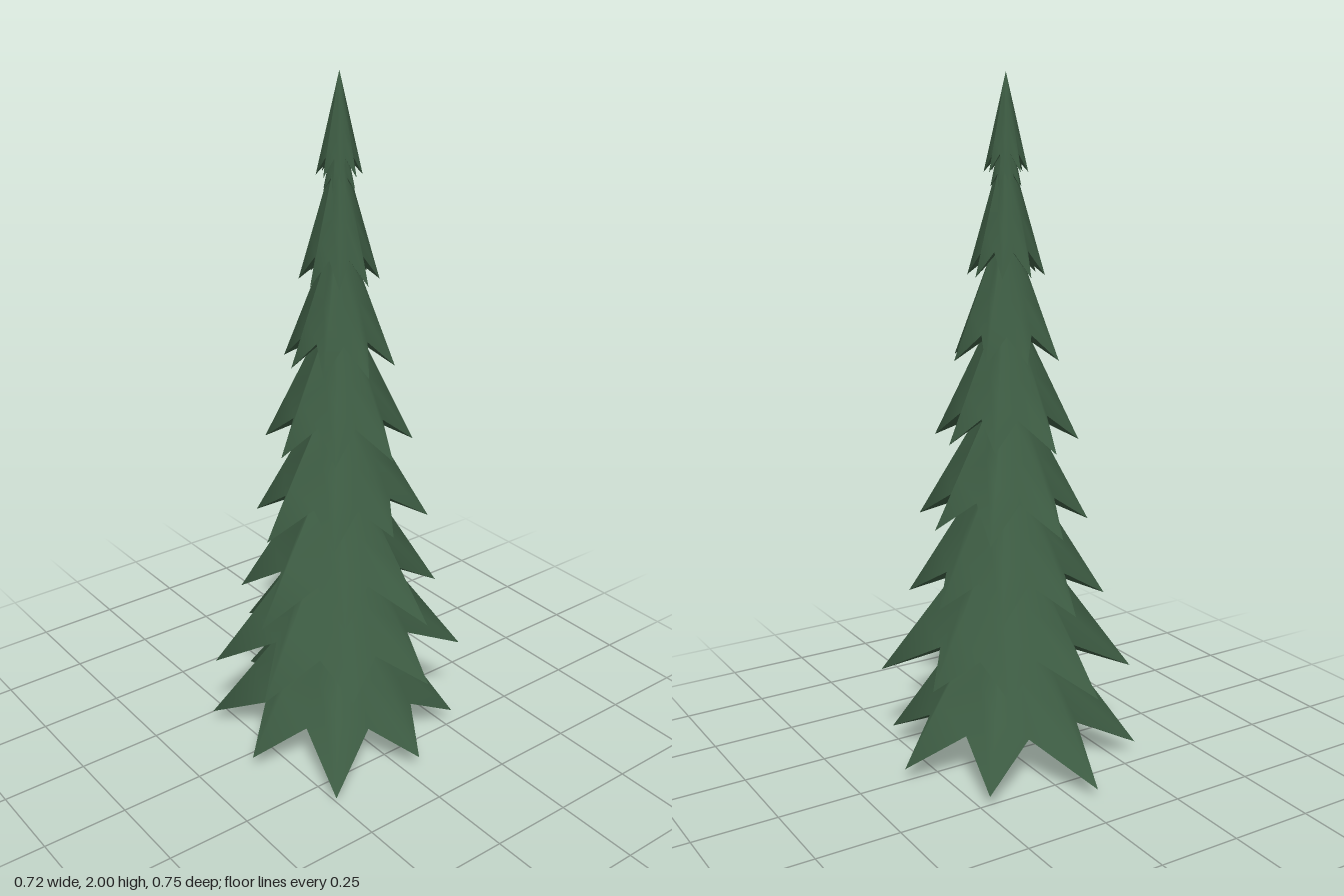
import * as THREE from 'three';

const AXIS_X = -0.01, AXIS_Z = 0.035;
const POINTS = 8;
const SIDES = POINTS * 2;

// Tiers from the ground up: rim and apex height, first tip angle in degrees,
// then one tip radius for all points or one for each point.
const TIERS = [
  { rim: 0.04, apex: 0.56, phase: -6.7, tips: [0.373, 0.352, 0.342, 0.409, 0.352, 0.391, 0.418, 0.388] },
  { rim: 0.27, apex: 0.77, phase: 29.5, tips: [0.376, 0.328, 0.306, 0.353, 0.374, 0.358, 0.302, 0.307] },
  { rim: 0.5, apex: 0.97, phase: 33.7, tips: [0.29, 0.335, 0.28, 0.33, 0.29, 0.29, 0.29, 0.26] },
  { rim: 0.735, apex: 1.18, phase: 40.5, tips: [0.26, 0.23, 0.25, 0.27, 0.24, 0.27, 0.276, 0.25] },
  { rim: 0.975, apex: 1.41, phase: 40, tips: [0.21, 0.22, 0.21, 0.215, 0.21, 0.235, 0.21, 0.2] },
  { rim: 1.21, apex: 1.62, phase: 8, tips: [0.16, 0.16, 0.165, 0.155, 0.15, 0.16, 0.15, 0.155] },
  { rim: 1.445, apex: 1.83, phase: 37, tips: [0.11] },
  { rim: 1.69, apex: 1.9, phase: 15, tips: [0.045] },
  { rim: 1.73, apex: 2.0, phase: 35, tips: [0.062] },
];

// Star-shaped rim: drooping tips alternate with higher, shorter valleys
function rimPoints({ rim, apex, phase, tips }) {
  const mean = tips.reduce((a, b) => a + b, 0) / tips.length;
  const valleyY = rim + (apex - rim) * 0.18;
  return Array.from({ length: SIDES }, (_, i) => {
    const isTip = i % 2 === 0;
    const tip = tips[(i / 2) % tips.length];
    const a = THREE.MathUtils.degToRad(phase) + (i / SIDES) * Math.PI * 2;
    const r = isTip ? tip : mean * 0.63;
    const y = isTip ? rim + (mean - tip) * 0.3 : valleyY;
    return new THREE.Vector3(r * Math.cos(a), y, r * Math.sin(a));
  });
}

// Smooth surface from a centre point to the rim, facing up or down
function fanGeometry(rim, centreY, facesUp) {
  const rows = 3;
  const position = [0, centreY, 0], index = [];
  for (let row = 1; row <= rows; row++) {
    const t = row / rows;
    rim.forEach((p) => position.push(p.x * t, centreY + (p.y - centreY) * t, p.z * t));
  }
  const face = (a, b, c) => index.push(...(facesUp ? [a, b, c] : [a, c, b]));
  for (let i = 0; i < SIDES; i++) {
    const j = (i + 1) % SIDES;
    face(0, 1 + j, 1 + i);
    for (let row = 1; row < rows; row++) {
      const inner = 1 + (row - 1) * SIDES, outer = inner + SIDES;
      face(inner + i, inner + j, outer + i);
      face(inner + j, outer + j, outer + i);
    }
  }
  const geometry = new THREE.BufferGeometry();
  geometry.setAttribute('position', new THREE.Float32BufferAttribute(position, 3));
  geometry.setIndex(index);
  geometry.computeVertexNormals();
  return geometry;
}

export function createModel() {
  const tree = new THREE.Group();
  tree.name = 'tree';
  tree.position.set(AXIS_X, 0, AXIS_Z);

  const needles = new THREE.MeshStandardMaterial({ color: 0x3d5c43 });
  needles.name = 'needle green';
  const bark = new THREE.MeshStandardMaterial({ color: 0x6f5548 });
  bark.name = 'bark brown';

  // Trunk
  const trunk = new THREE.Mesh(new THREE.CylinderGeometry(0.03, 0.03, 0.3, 12), bark);
  trunk.name = 'trunk';
  trunk.position.y = 0.15;
  tree.add(trunk);

  // Branch tiers: a steep pointed cone closed by a shallow underside
  TIERS.forEach((tier, i) => {
    const group = new THREE.Group();
    group.name = `branchTier${i + 1}`;
    const rim = rimPoints(tier);
    const cone = new THREE.Mesh(fanGeometry(rim, tier.apex, true), needles);
    cone.name = 'branchTop';
    const underside = new THREE.Mesh(fanGeometry(rim, rim[1].y + 0.02, false), needles);
    underside.name = 'branchUnderside';
    group.add(cone, underside);
    tree.add(group);
  });

  const model = new THREE.Group();
  model.name = 'model';
  model.add(tree);
  return model;
}
